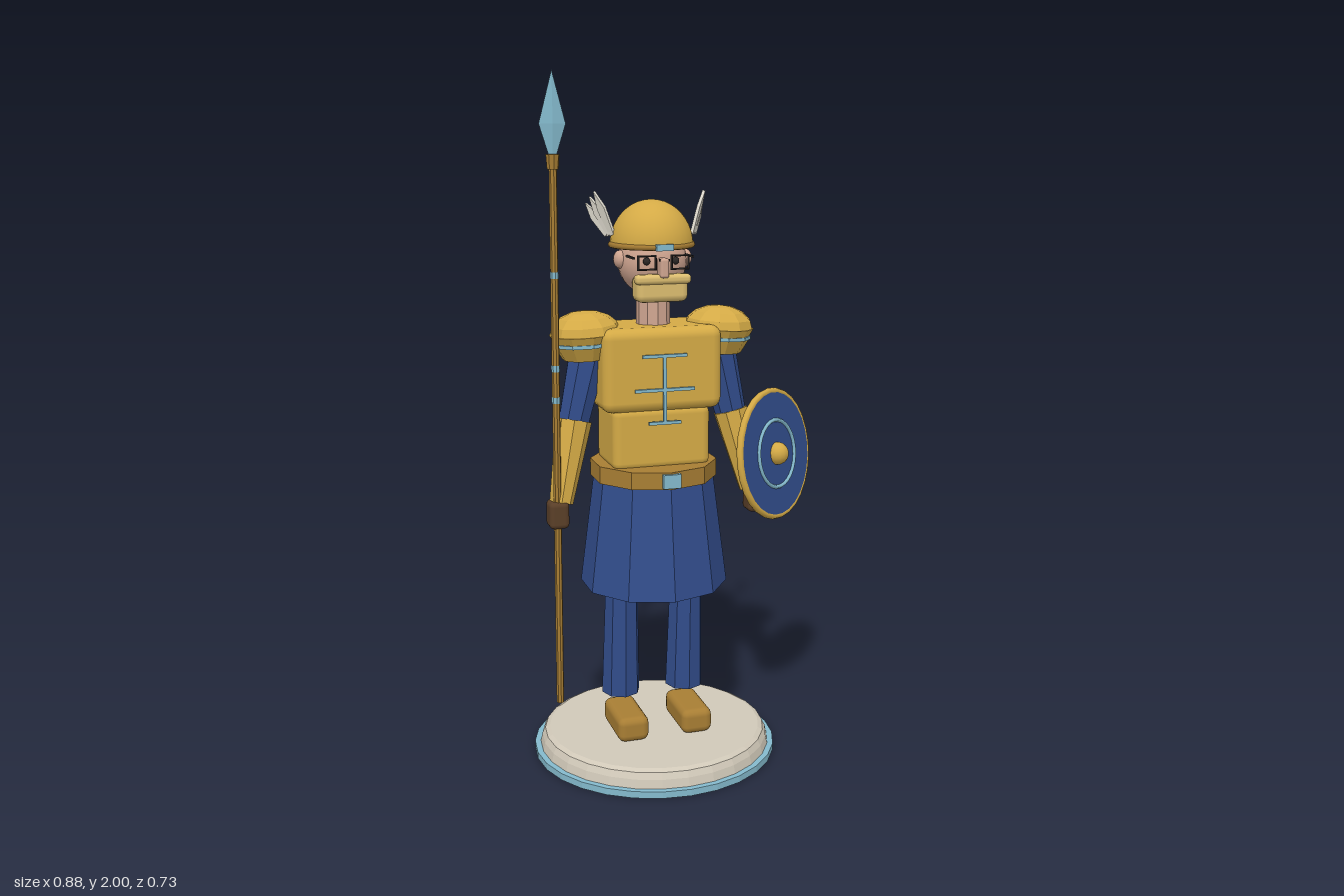
import * as THREE from 'three';
import { RoundedBoxGeometry } from 'three/addons/geometries/RoundedBoxGeometry.js';

const palette = {
  gold: 0xd4aa46, bronze: 0xa87e34, navy: 0x324d8c, sky: 0x84bacd, stone: 0xd0c8b8,
  skin: 0xcfa590, brown: 0x5a3f28, dark: 0x2b2826, blond: 0xdcbd70, feather: 0xdcd8cc,
};
const V = (x, y, z) => new THREE.Vector3(x, y, z);

// Faceted copy of a geometry
function flat(geo) {
  const g = geo.index ? geo.toNonIndexed() : geo;
  g.computeVertexNormals();
  return g;
}

export function createModel() {
  const mats = {};
  for (const [name, color] of Object.entries(palette)) {
    mats[name] = new THREE.MeshStandardMaterial({ color });
    mats[name].name = name;
  }
  const model = new THREE.Group();
  model.name = 'spearGuard';
  const figure = new THREE.Group();
  figure.name = 'figure';
  figure.position.x = -0.076;
  model.add(figure);

  const add = (name, geo, mat, x = 0, y = 0, z = 0, parent = figure) => {
    const m = new THREE.Mesh(geo, mats[mat]);
    m.name = name;
    m.position.set(x, y, z);
    parent.add(m);
    return m;
  };
  const rbox = (w, h, d, r) => new RoundedBoxGeometry(w, h, d, 2, r);
  const box = (w, h, d) => new THREE.BoxGeometry(w, h, d);
  const cyl = (rt, rb, h, n) => flat(new THREE.CylinderGeometry(rt, rb, h, n));
  // Tapered limb from p to q
  const limb = (name, p, q, rp, rq, n, mat) => {
    const d = q.clone().sub(p);
    const m = add(name, cyl(rq, rp, d.length(), n), mat);
    m.position.copy(p).addScaledVector(d, 0.5);
    m.quaternion.setFromUnitVectors(V(0, 1, 0), d.normalize());
    return m;
  };

  // Plinth
  add('plinthTrim', cyl(0.364, 0.364, 0.02, 28), 'sky', 0, 0.01, 0);
  const plinth = [[0, 0.018], [0.347, 0.018], [0.341, 0.045], [0.332, 0.063], [0.318, 0.07], [0, 0.07]];
  add('plinth', flat(new THREE.LatheGeometry(plinth.map((p) => new THREE.Vector2(...p)), 28)), 'stone');

  // Skirt and belt
  add('skirt', cyl(0.175, 0.217, 0.33, 10), 'navy', 0, 0.692, 0);
  add('belt', cyl(0.185, 0.185, 0.05, 10), 'bronze', 0, 0.875, 0);
  add('buckle', box(0.052, 0.04, 0.02), 'sky', 0, 0.875, 0.182);

  // Armoured torso
  add('waistArmour', rbox(0.29, 0.185, 0.2, 0.025), 'gold', 0, 0.98, 0);
  add('chestArmour', rbox(0.352, 0.24, 0.23, 0.03), 'gold', 0, 1.18, 0);

  // Chest trim strips
  add('chestStripUpright', box(0.009, 0.2, 0.009), 'sky', 0, 1.125, 0.117);
  for (const [w, y] of [[0.13, 1.222], [0.175, 1.125], [0.095, 1.03]])
    add('chestStrip', box(w, 0.009, 0.009), 'sky', 0, y, 0.118);

  // Mirrored limbs
  for (const s of [-1, 1]) {
    limb('leg', V(s * 0.1, 0.18, -0.019), V(s * 0.1, 0.7, 0.012), 0.058, 0.045, 8, 'navy');
    add('boot', rbox(0.094, 0.075, 0.19, 0.022), 'bronze', s * 0.098, 0.108, 0.035);
    limb('upperArm', V(s * 0.19, 1.23, 0), V(s * 0.242, 1.01, 0.004), 0.058, 0.045, 8, 'navy');
    limb('forearm', V(s * 0.238, 1.03, 0.004), V(s * 0.288, 0.8, 0.045), 0.052, 0.034, 8, 'gold');
    add('hand', rbox(0.058, 0.08, 0.066, 0.015), 'brown', s * 0.3, 0.77, 0.05);

    // Layered shoulder guard
    const guard = new THREE.Group();
    guard.name = 'shoulderGuard';
    guard.position.set(s * 0.199, 1.26, 0);
    guard.rotation.z = -s * 0.06;
    figure.add(guard);
    const dome = new THREE.SphereGeometry(0.103, 10, 4, 0, Math.PI * 2, 0, Math.PI / 2);
    dome.scale(1, 0.62, 1);
    add('shoulderDome', flat(dome), 'gold', 0, 0.02, 0, guard);
    add('shoulderRim', cyl(0.103, 0.092, 0.022, 10), 'gold', 0, 0.009, 0, guard);
    add('shoulderTrim', cyl(0.096, 0.096, 0.01, 10), 'sky', 0, -0.007, 0, guard);
    add('shoulderSkirt', cyl(0.092, 0.07, 0.04, 10), 'gold', 0, -0.032, 0, guard);

    // Ears and spectacles
    add('ear', new THREE.SphereGeometry(0.026, 12, 8), 'skin', s * 0.096, 1.485, 0.002).scale.x = 0.75;
    const lens = new THREE.TorusGeometry(0.035, 0.005, 4, 4);
    lens.rotateZ(Math.PI / 4);
    add('spectacleFrame', flat(lens), 'dark', s * 0.048, 1.483, 0.108).scale.y = 0.75;
    add('eye', new THREE.SphereGeometry(0.011, 8, 6), 'dark', s * 0.042, 1.485, 0.085);
    add('spectacleArm', box(0.005, 0.006, 0.1), 'dark', s * 0.086, 1.497, 0.06);

    // Helmet wing made of three feathers
    const base = V(s * 0.117, 1.552, -0.008);
    const outline = new THREE.Shape();
    outline.moveTo(-0.008, 0);
    outline.lineTo(-0.014, 0.08);
    outline.lineTo(0, 0.132);
    outline.lineTo(0.014, 0.08);
    outline.lineTo(0.008, 0);
    [[0.048, 0.128, -0.03], [0.052, 0.122, -0.055], [0.054, 0.105, -0.078]].forEach((t, i) => {
      const up = V(s * t[0], t[1], t[2]).normalize();
      const side = V(s * 0.55, 0, -0.83).projectOnPlane(up).normalize();
      const m = add('wingFeather', flat(new THREE.ExtrudeGeometry(outline,
        { depth: 0.009, bevelEnabled: false })), 'feather');
      m.quaternion.setFromRotationMatrix(
        new THREE.Matrix4().makeBasis(side, up, side.clone().cross(up)));
      m.position.copy(base).add(V(s * i * 0.006, 0, -i * 0.008));
      m.scale.y = 1 - i * 0.06;
    });
  }

  // Head
  add('neck', cyl(0.047, 0.05, 0.14, 10), 'skin', 0, 1.34, 0.004);
  add('head', new THREE.SphereGeometry(0.099, 24, 16), 'skin', 0, 1.478, -0.004);
  add('nose', rbox(0.026, 0.055, 0.04, 0.008), 'skin', 0, 1.468, 0.106);
  add('spectacleBridge', box(0.03, 0.006, 0.007), 'dark', 0, 1.49, 0.116);
  add('beard', rbox(0.15, 0.075, 0.076, 0.02), 'blond', 0, 1.408, 0.072);
  add('moustache', rbox(0.162, 0.028, 0.04, 0.012), 'blond', 0, 1.436, 0.098);

  // Helmet
  const cap = new THREE.SphereGeometry(0.122, 28, 10, 0, Math.PI * 2, 0, Math.PI / 2);
  cap.scale(0.97, 1.05, 1.03);
  add('helmetDome', cap, 'gold', 0, 1.523, -0.008);
  add('helmetUnderside', cyl(0.118, 0.118, 0.006, 28), 'gold', 0, 1.524, -0.008);
  const band = new THREE.TorusGeometry(0.119, 0.009, 8, 28);
  band.rotateX(Math.PI / 2);
  add('helmetBand', band, 'bronze', 0, 1.525, -0.008).scale.x = 0.97;
  add('helmetGem', box(0.05, 0.018, 0.012), 'sky', 0, 1.525, 0.12);

  // Spear, leaning slightly forward
  const spear = new THREE.Group();
  spear.name = 'spear';
  spear.position.set(-0.303, 0.195, 0.05);
  spear.rotation.x = 0.021;
  figure.add(spear);
  add('spearShaft', cyl(0.011, 0.011, 1.56, 8), 'bronze', 0, 0.78, 0, spear);
  add('spearCollar', cyl(0.019, 0.016, 0.04, 8), 'bronze', 0, 1.565, 0, spear);
  for (const y of [0.91, 1.0, 1.26])
    add('spearBand', cyl(0.0125, 0.0125, 0.018, 8), 'sky', 0, y, 0, spear);
  const blade = [[0.01, 1.58], [0.037, 1.665], [0, 1.805]].map((p) => new THREE.Vector2(...p));
  add('spearBlade', flat(new THREE.LatheGeometry(blade, 4, Math.PI / 2)), 'sky', 0, 0, 0, spear).scale.z = 0.2;

  // Round shield, turned outward and tipped up
  const shield = new THREE.Group();
  shield.name = 'shield';
  shield.position.set(0.359, 0.9, 0.055);
  shield.rotation.set(-0.13, 0.655, 0, 'YXZ');
  figure.add(shield);
  const disc = cyl(0.186, 0.186, 0.018, 28);
  disc.rotateX(Math.PI / 2);
  add('shieldFace', disc, 'navy', 0, 0, 0, shield);
  add('shieldRim', new THREE.TorusGeometry(0.186, 0.0105, 8, 28), 'gold', 0, 0, 0, shield);
  add('shieldRing', new THREE.TorusGeometry(0.1, 0.006, 6, 28), 'sky', 0, 0, 0.01, shield);
  add('shieldBoss', new THREE.SphereGeometry(0.034, 16, 10), 'gold', 0, 0, 0.012, shield);
  return model;
}
